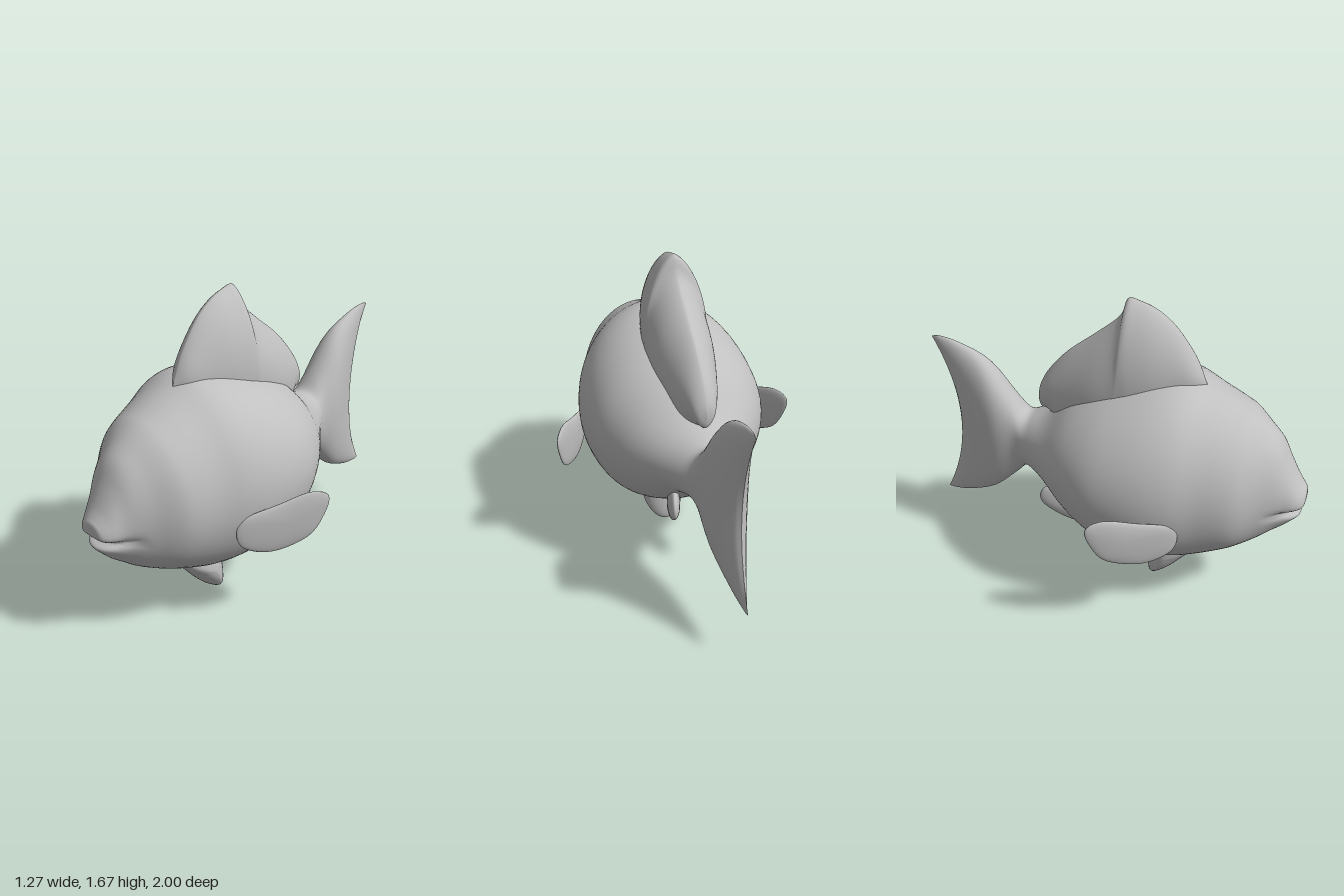
import * as THREE from 'three';

const skin = new THREE.MeshStandardMaterial({ color: 0xc0c0c0 });
skin.name = 'grey skin';

// Smooth closed skin over a grid of points: rows along the part, columns around it
function skinGrid(name, rows, cols, pointAt) {
  const pos = [], index = [];
  for (let i = 0; i <= rows; i++)
    for (let j = 0; j < cols; j++) pos.push(...pointAt(i / rows, j / cols));
  for (let i = 0; i < rows; i++)
    for (let j = 0; j < cols; j++) {
      const k = (j + 1) % cols;
      const a = i * cols + j, b = a + cols, c = i * cols + k, d = c + cols;
      index.push(a, b, c, c, b, d);
    }
  const geo = new THREE.BufferGeometry();
  geo.setAttribute('position', new THREE.Float32BufferAttribute(pos, 3));
  geo.setIndex(index);
  geo.computeVertexNormals();
  const mesh = new THREE.Mesh(geo, skin);
  mesh.name = name;
  return mesh;
}

// Loft through stations [z, bottom, top, half width]; warp(y, z, v) bends z
function loft(name, stations, sharpness, warp = (y, z) => z) {
  const heights = new THREE.CatmullRomCurve3(
    stations.map(s => new THREE.Vector3(s[0], s[1], s[2])), false, 'catmullrom', 0.5);
  const widths = new THREE.CatmullRomCurve3(
    stations.map(s => new THREE.Vector3(s[3], 0, 0)), false, 'catmullrom', 0.5);
  return skinGrid(name, (stations.length - 1) * 4, 64, (t, u) => {
    const p = heights.getPoint(t), w = Math.max(0, widths.getPoint(t).x);
    const c = Math.cos(u * Math.PI * 2), v = Math.sin(u * Math.PI * 2);
    const y = (p.y + p.z) / 2 + v * (p.z - p.y) / 2;
    const x = Math.sign(c) * Math.pow(Math.abs(c), sharpness) * w;
    return [x, y, warp(y, p.x, v)];
  });
}

// Puffed fin from a [z, y] outline, placed sideways by xAt(z)
function fin(name, outline, thickness, xAt) {
  const curve = new THREE.CatmullRomCurve3(
    outline.map(([z, y]) => new THREE.Vector3(0, y, z)), true, 'catmullrom', 0.5);
  const centre = new THREE.Vector3();
  outline.forEach(([z, y]) => centre.add(new THREE.Vector3(0, y, z)));
  centre.divideScalar(outline.length);
  return skinGrid(name, 16, 40, (t, u) => {
    const p = curve.getPoint(u).lerp(centre, 1 - Math.sin(t * Math.PI));
    return [xAt(p.z) + thickness * Math.cos(t * Math.PI), p.y, p.z];
  });
}

export function createModel() {
  const fish = new THREE.Group();
  fish.name = 'fish';

  // Body and tail in one skin: mouth notch at the nose, hollow trailing edge at the tail
  const bodyStations = [
    [1.0, 0.69, 0.69, 0], [0.999, 0.66, 0.73, 0.035], [0.995, 0.63, 0.755, 0.065],
    [0.98, 0.605, 0.775, 0.088], [0.95, 0.572, 0.82, 0.11], [0.9, 0.52, 0.92, 0.135],
    [0.85, 0.48, 1.02, 0.17], [0.78, 0.425, 1.09, 0.225], [0.7, 0.38, 1.155, 0.3],
    [0.63, 0.345, 1.19, 0.34], [0.5, 0.29, 1.25, 0.385], [0.38, 0.26, 1.3, 0.435],
    [0.25, 0.255, 1.3, 0.465], [0.1, 0.285, 1.26, 0.47], [-0.05, 0.33, 1.2, 0.445],
    [-0.2, 0.43, 1.11, 0.365], [-0.33, 0.55, 0.985, 0.26], [-0.42, 0.59, 0.93, 0.185],
    [-0.49, 0.585, 0.915, 0.135], [-0.56, 0.51, 1.0, 0.11], [-0.7, 0.375, 1.185, 0.11],
    [-0.85, 0.305, 1.262, 0.075], [-0.96, 0.285, 1.285, 0.035], [-1.0, 0.29, 1.275, 0],
  ];
  fish.add(loft('bodyAndTail', bodyStations, 1, (y, z, v) => {
    if (z > 0.8) {
      const reach = Math.min(1, (z - 0.8) / 0.15);
      return z - 0.06 * reach * Math.exp(-(((y - 0.65) / 0.022) ** 2));
    }
    return z < -0.48 ? -0.48 + (z + 0.48) * (0.77 + 0.23 * v * v) : z;
  }));

  // Tall dorsal fin, sunk into the back
  fish.add(loft('dorsalFin', [
    [0.46, 1.25, 1.27, 0], [0.4, 1.17, 1.41, 0.06], [0.3, 1.0, 1.555, 0.105],
    [0.2, 0.93, 1.635, 0.14], [0.11, 0.87, 1.668, 0.16], [0.055, 0.85, 1.67, 0.165],
    [0.02, 0.85, 1.575, 0.165], [-0.1, 0.84, 1.46, 0.155], [-0.25, 0.83, 1.33, 0.115],
    [-0.35, 0.95, 1.21, 0.075], [-0.4, 0.97, 1.12, 0.045], [-0.415, 1.03, 1.06, 0],
  ], 1.4));

  // Thick belly fin on the centre line
  fish.add(fin('bellyFin', [
    [0.2, 0.19], [0.24, 0.33], [0.4, 0.38], [0.47, 0.28],
    [0.39, 0.16], [0.3, 0.06], [0.215, 0.003], [0.19, 0.05],
  ], 0.12, () => 0));

  // Paired side fins and rear fins
  for (const [label, side] of [['left', 1], ['right', -1]]) {
    fish.add(fin(label + 'PectoralFin', [
      [0.045, 0.76], [0.12, 0.793], [0.25, 0.75], [0.42, 0.68],
      [0.42, 0.54], [0.29, 0.482], [0.13, 0.54], [0.06, 0.66],
    ], 0.025, z => side * (0.635 - 0.6 * (z - 0.04))));
    fish.add(fin(label + 'RearFin', [
      [-0.38, 0.5], [-0.33, 0.555], [-0.2, 0.54], [-0.09, 0.43],
      [-0.065, 0.34], [-0.12, 0.3], [-0.25, 0.345], [-0.36, 0.43],
    ], 0.035, z => side * (0.07 - 0.28 * (z + 0.1))));
  }
  return fish;
}
